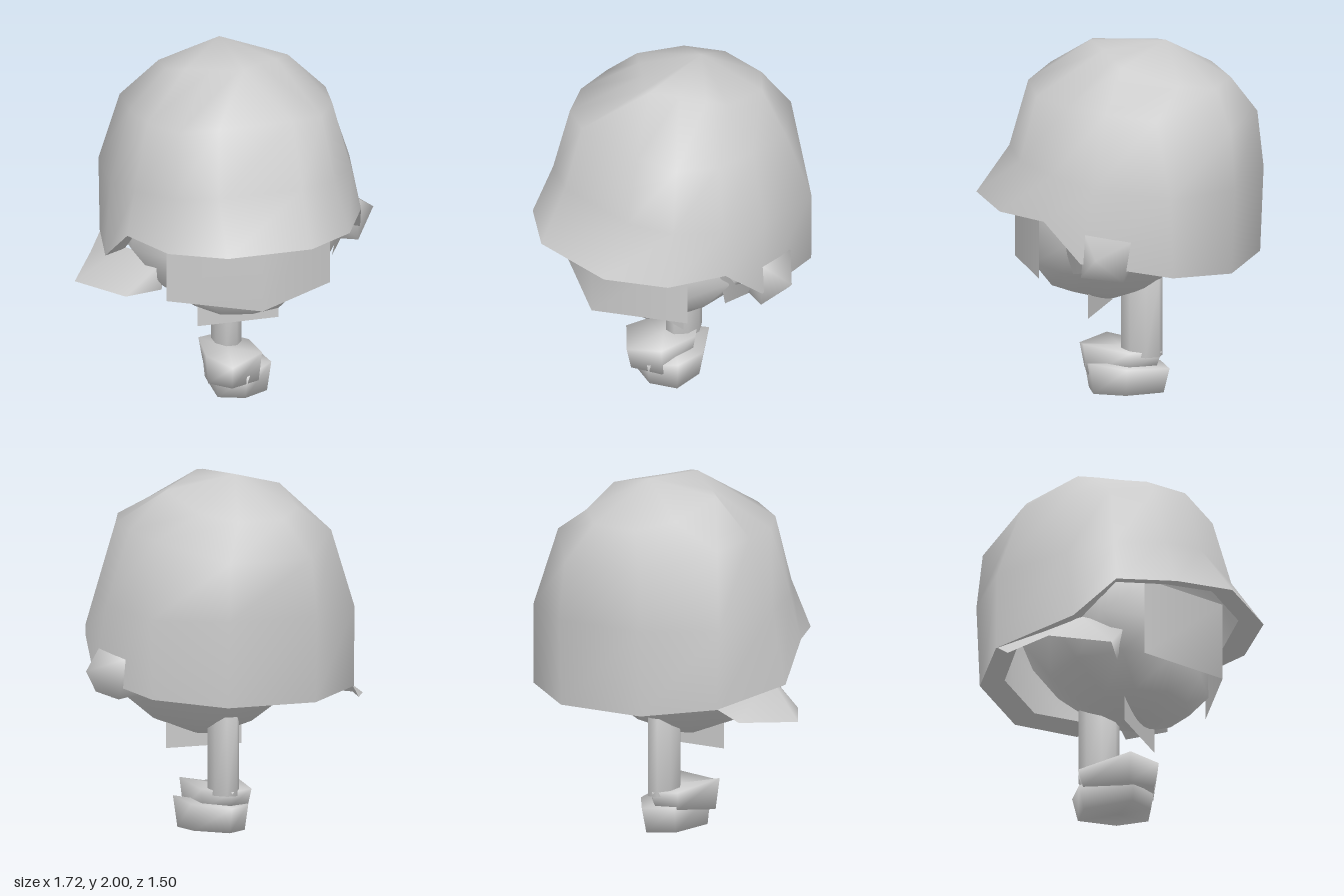
import * as THREE from 'three';

const material = new THREE.MeshStandardMaterial({ color: 0xcccccc, side: THREE.DoubleSide });

// Smooth mesh from points and triangle indices
function surface(name, points, index) {
  const geo = new THREE.BufferGeometry();
  geo.setAttribute('position', new THREE.Float32BufferAttribute(points.flat(), 3));
  geo.setIndex(index);
  geo.computeVertexNormals();
  const mesh = new THREE.Mesh(geo, material);
  mesh.name = name;
  return mesh;
}

// Skin closed rings stacked upwards, with optional end points
function loft(name, rings, bottom, top) {
  const n = rings[0].length;
  const points = rings.flat();
  const index = [];
  for (let i = 0; i < rings.length - 1; i++) {
    for (let j = 0; j < n; j++) {
      const a = i * n + j, b = i * n + (j + 1) % n;
      index.push(a, b, b + n, a, b + n, a + n);
    }
  }
  if (bottom) {
    for (let j = 0; j < n; j++) index.push(points.length, (j + 1) % n, j);
    points.push(bottom);
  }
  if (top) {
    const s = (rings.length - 1) * n;
    for (let j = 0; j < n; j++) index.push(s + j, s + (j + 1) % n, points.length);
    points.push(top);
  }
  return surface(name, points, index);
}

// Horizontal oval between x and z limits
function oval(sides, y, x0, x1, z0, z1) {
  return Array.from({ length: sides }, (_, k) => {
    const t = ((k + 0.5) / sides) * Math.PI * 2, s = 1 / Math.cos(Math.PI / sides);
    const c = Math.cos(t) * s, d = -Math.sin(t) * s;
    const clamp = v => Math.max(-1, Math.min(1, v));
    return [(x0 + x1) / 2 + clamp(c) * (x1 - x0) / 2, y, (z0 + z1) / 2 + clamp(d) * (z1 - z0) / 2];
  });
}

// Flat-ended block lofted from a lower and an upper ring
function block(name, lower, upper) {
  const mid = r => [0, 1, 2].map(k => r.reduce((sum, p) => sum + p[k], 0) / r.length);
  return loft(name, [lower, upper], mid(lower), mid(upper));
}

// Base block from corners [x, z, bottom y, top y], narrower at the bottom
function baseBlock(name, corners) {
  return block(name,
    corners.map(([x, z, y]) => [x * 0.9, y, z * 0.88]),
    corners.map(([x, z, , y]) => [x, y, z]));
}

export function createModel() {
  const group = new THREE.Group();

  // Helmet: half rings from front to back, mirrored about x = 0.02
  const halves = [
    [[0.24, 1.12, 0.75], [0.52, 1.09, 0.53], [0.67, 1.09, 0.23], [0.73, 0.88, 0.0], [0.62, 0.81, -0.5], [0.27, 0.77, -0.73]],
    [[0.24, 1.40, 0.56], [0.46, 1.37, 0.43], [0.62, 1.34, 0.2], [0.685, 1.29, -0.06], [0.63, 1.25, -0.49], [0.27, 1.25, -0.75]],
    [[0.21, 1.77, 0.46], [0.41, 1.73, 0.35], [0.53, 1.71, 0.14], [0.56, 1.70, -0.1], [0.54, 1.67, -0.38], [0.25, 1.57, -0.72]],
    [[0.02, 1.973, 0.16], [0.14, 1.95, 0.05], [0.26, 1.928, -0.04], [0.35, 1.91, -0.12], [0.3, 1.82, -0.44], [0.14, 1.78, -0.6]],
  ];
  const rings = halves.map(h => [
    ...h.map(([x, y, z]) => [0.02 + x, y, z]),
    ...h.slice().reverse().map(([x, y, z]) => [0.02 - x, y, z]),
  ]);
  group.add(loft('helmet', rings, null, [0.02, 2.0, -0.27]));

  // Turned-in lip under the rim
  const lip = rings[0].map(([x, y, z]) => [0.02 + (x - 0.02) * 0.85, y + 0.03, z * 0.82]);
  group.add(loft('helmetLip', [lip, rings[0]]));

  // Head: faceted bowl under the helmet
  group.add(loft('head', [
    oval(10, 0.525, -0.06, 0.1, 0.0, 0.11),
    oval(10, 0.6, -0.25, 0.29, -0.19, 0.38),
    oval(10, 0.75, -0.44, 0.48, -0.37, 0.47),
    oval(10, 0.95, -0.59, 0.63, -0.52, 0.44),
    oval(10, 1.2, -0.57, 0.61, -0.53, 0.4),
  ], [0.02, 0.515, 0.06], [0.02, 1.4, 0]));

  // Face mask: upright sheet folded along its middle
  group.add(surface('faceMask', [
    [-0.45, 0.71, 0.32], [0.02, 0.71, 0.6], [0.485, 0.71, 0.32],
    [-0.45, 1.16, 0.32], [0.02, 1.16, 0.6], [0.485, 1.16, 0.32],
  ], [0, 1, 4, 0, 4, 3, 1, 2, 5, 1, 5, 4]));

  // Cheek strap running down from the rim on the left
  group.add(surface('cheekStrap', [
    [0.6, 1.12, 0.2], [0.65, 0.95, 0.11], [0.56, 0.77, 0.1], [0.63, 0.81, -0.06], [0.68, 0.92, 0],
  ], [0, 2, 1, 1, 2, 3, 1, 3, 4]));

  // Ear cup on the left: four-sided block with a pointed cap
  const outer = [[0.73, 1.045, -0.02], [0.74, 0.8, 0], [0.72, 0.785, -0.24], [0.7, 1.01, -0.275]];
  const inner = outer.map(([x, y, z]) => [x - 0.17, y * 0.8 + 0.18, z * 0.8 - 0.03]);
  group.add(loft('earCup', [inner, outer], null, [0.86, 0.935, -0.12]));

  // Flared flap on the right
  group.add(surface('earFlap', [
    [-0.6, 0.92, 0.0], [-0.59, 0.82, -0.5], [-0.68, 0.73, -0.4],
    [-0.86, 0.705, -0.09], [-0.65, 0.71, 0.2], [-0.43, 0.705, 0.15], [-0.43, 0.9, 0.2],
  ], [0, 1, 2, 0, 2, 3, 0, 3, 4, 0, 4, 6, 6, 4, 5]));

  // Neck, and the flat collar under the chin
  group.add(block('neck', oval(8, 0.2, -0.055, 0.095, -0.24, -0.02), oval(8, 0.64, -0.055, 0.095, -0.24, -0.02)));
  const collar = new THREE.Mesh(new THREE.PlaneGeometry(0.465, 0.16), material);
  collar.name = 'collar';
  collar.position.set(0.02, 0.52, 0.11);
  group.add(collar);

  // Two overlapping base blocks
  group.add(baseBlock('upperBase', [
    [0.14, -0.1, 0.12, 0.23], [0.02, -0.245, 0.14, 0.225], [-0.12, -0.2, 0.13, 0.23],
    [-0.17, 0.13, 0.09, 0.265], [-0.05, 0.25, 0.09, 0.225], [0.14, 0.17, 0.09, 0.265],
  ]));
  group.add(baseBlock('lowerBase', [
    [0.2, -0.1, 0, 0.15], [0.05, -0.3, 0, 0.14], [-0.1, -0.2, 0, 0.145],
    [-0.11, 0.13, 0, 0.175], [0.05, 0.19, 0, 0.135], [0.21, 0.11, 0, 0.175],
  ]));

  return group;
}
